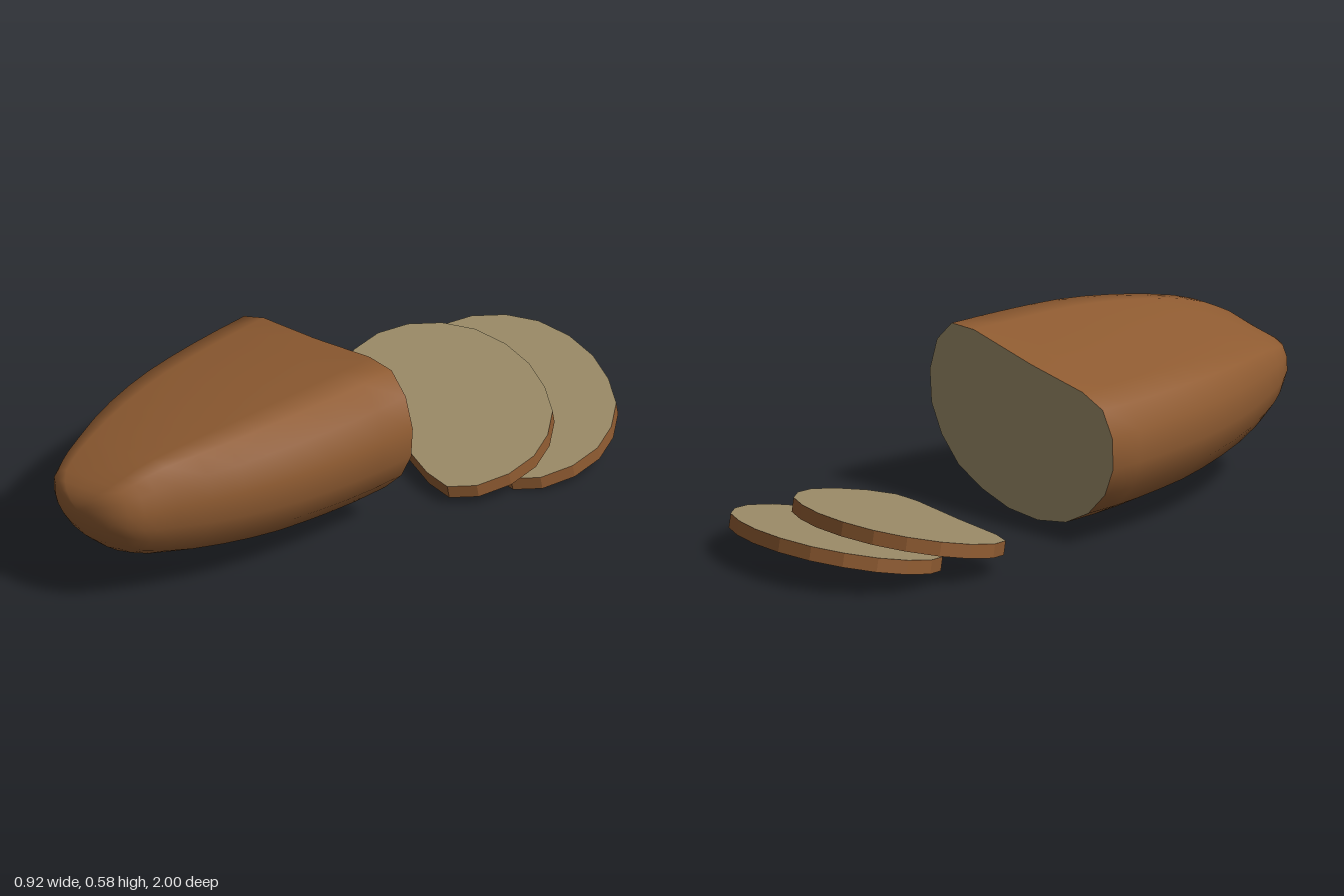
import * as THREE from 'three';

// Loaf cross-section, clockwise seen from the front
const SECTION = [
  [0.155, 0.583], [0.255, 0.583], [0.32, 0.518], [0.352, 0.415], [0.345, 0.31], [0.30, 0.218],
  [0.225, 0.137], [0.12, 0.082], [0, 0.045], [-0.13, 0.035], [-0.255, 0.055], [-0.355, 0.105],
  [-0.43, 0.18], [-0.467, 0.27], [-0.463, 0.37], [-0.42, 0.45], [-0.33, 0.488], [-0.1, 0.527],
];
const CX = -0.0575, CY = 0.31;

// Stations along the loaf: z, width scale, height scale, centre height
const RINGS = [
  [-0.02, 1, 1, 0.31], [0.1, 0.995, 0.995, 0.31], [0.2, 0.98, 0.985, 0.312], [0.3, 0.955, 0.97, 0.315],
  [0.4, 0.92, 0.95, 0.318], [0.5, 0.868, 0.912, 0.322], [0.6, 0.8, 0.86, 0.326], [0.7, 0.71, 0.8, 0.33],
  [0.8, 0.6, 0.715, 0.335], [0.86, 0.535, 0.63, 0.34], [0.9, 0.485, 0.54, 0.346], [0.94, 0.42, 0.43, 0.355],
  [0.97, 0.32, 0.31, 0.363], [0.987, 0.22, 0.2, 0.368], [0.997, 0.11, 0.1, 0.37],
];

function crustGeometry() {
  const pos = [], index = [], n = SECTION.length;
  for (const [z, sx, sy, cy] of RINGS)
    for (const [x, y] of SECTION) pos.push(CX + (x - CX) * sx, cy + (y - CY) * sy, z);
  const tip = pos.length / 3;
  pos.push(CX, 0.37, 1);
  for (let i = 0; i < RINGS.length; i++) {
    for (let j = 0; j < n; j++) {
      const k = (j + 1) % n, a = i * n + j, b = i * n + k;
      if (i === RINGS.length - 1) index.push(a, tip, b);
      else index.push(a, a + n, b, b, a + n, b + n);
    }
  }
  const geo = new THREE.BufferGeometry();
  geo.setAttribute('position', new THREE.Float32BufferAttribute(pos, 3));
  geo.setIndex(index);
  geo.computeVertexNormals();
  return geo;
}

const shapeOf = (fn) => new THREE.Shape(SECTION.map(([x, y]) => new THREE.Vector2(...fn(x, y))));

export function createModel() {
  const crust = new THREE.MeshStandardMaterial({ color: 0x905c32 });
  crust.name = 'crustBrown';
  const crumb = new THREE.MeshStandardMaterial({ color: 0x9c8c68 });
  crumb.name = 'crumbBeige';

  const model = new THREE.Group();
  model.name = 'slicedBread';
  const add = (name, geo, mat) => {
    const mesh = new THREE.Mesh(geo, mat);
    mesh.name = name;
    model.add(mesh);
    return mesh;
  };

  // Remaining loaf with its cut face turned to the back
  add('loafCrust', crustGeometry(), crust);
  const cut = new THREE.ShapeGeometry(shapeOf((x, y) => [-x, y])).rotateY(Math.PI);
  add('loafCutFace', cut.translate(0, 0, RINGS[0][0]), crumb);

  // Two slices lying behind, one leaning on the other
  const sliceGeo = new THREE.ExtrudeGeometry(shapeOf((x, y) => [x - CX, y - CY]), { depth: 0.045, bevelEnabled: false });
  const slices = [['upperSlice', -0.0175, 0.125, -0.515], ['lowerSlice', 0.0525, 0.1, -0.715]];
  for (const [name, x, y, z] of slices) {
    const slice = add(name, sliceGeo, [crumb, crust]);
    slice.position.set(x, y, z);
    slice.rotation.set(Math.PI / 2 + 0.182, 0, 0.058);
  }
  return model;
}
